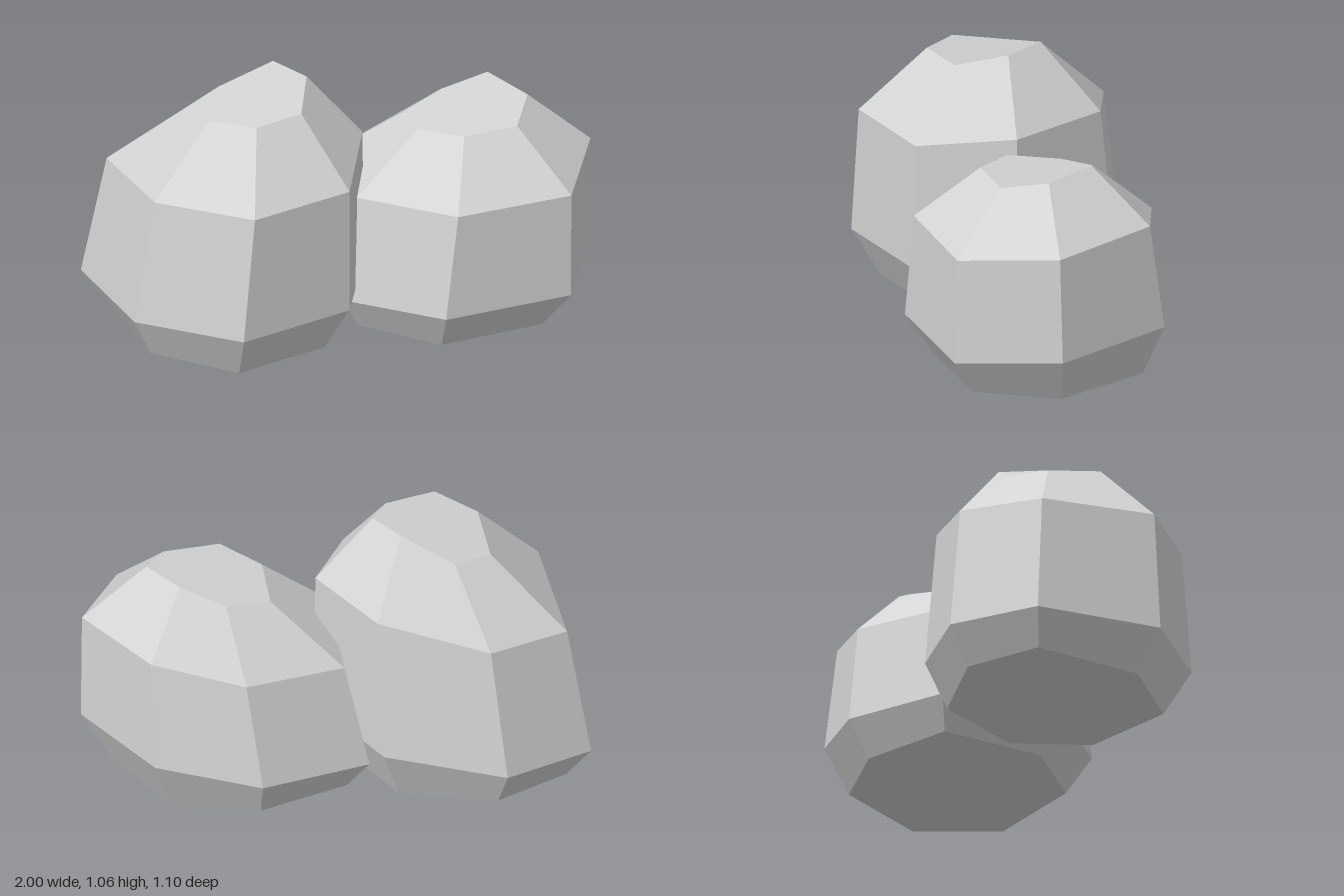
import * as THREE from 'three';

const stone = new THREE.MeshStandardMaterial({ color: 0xd4d4d4 });
stone.name = 'stoneGrey';

// Faceted boulder: closed shell through rings of [x, y, z], ordered clockwise from above
function makeBoulder(name, rings) {
  const positions = [];
  const normals = [];

  // One polygon as a triangle fan, with a single averaged normal so it shades as one facet
  const addFacet = (corners) => {
    const points = corners.map((p) => new THREE.Vector3(...p));
    const normal = new THREE.Vector3();
    points.forEach((p, i) => {
      normal.add(new THREE.Vector3().crossVectors(p, points[(i + 1) % points.length]));
    });
    normal.normalize();
    for (let i = 1; i < points.length - 1; i++) {
      for (const p of [points[0], points[i], points[i + 1]]) {
        positions.push(p.x, p.y, p.z);
        normals.push(normal.x, normal.y, normal.z);
      }
    }
  };

  // Side facets
  const count = rings[0].length;
  for (let r = 0; r < rings.length - 1; r++) {
    const lo = rings[r];
    const hi = rings[r + 1];
    for (let i = 0; i < count; i++) {
      const j = (i + 1) % count;
      addFacet([lo[i], hi[i], hi[j], lo[j]]);
    }
  }

  // Underside and crown
  const [first, ...rest] = rings[rings.length - 1];
  addFacet(rings[0]);
  addFacet([first, ...rest.reverse()]);

  const geometry = new THREE.BufferGeometry();
  geometry.setAttribute('position', new THREE.Float32BufferAttribute(positions, 3));
  geometry.setAttribute('normal', new THREE.Float32BufferAttribute(normals, 3));
  const mesh = new THREE.Mesh(geometry, stone);
  mesh.name = name;
  return mesh;
}

// Ground ring: the lower ring shrunk about a centre and dropped to y = 0
const footprint = (ring, cx, cz) =>
  ring.map(([x, , z]) => [cx + (x - cx) * 0.81, 0, cz + (z - cz) * 0.81]);

export function createModel() {
  const group = new THREE.Group();
  group.name = 'boulderPair';

  // Taller boulder
  const tallLow = [
    [-0.17, 0.21, -0.44], [0.07, 0.21, 0], [-0.08, 0.2, 0.38], [-0.55, 0.2, 0.545],
    [-0.92, 0.18, 0.24], [-1, 0.13, -0.33], [-0.65, 0.155, -0.55],
  ];
  const tallHigh = [
    [-0.15, 0.79, -0.38], [0.065, 0.785, 0], [-0.08, 0.73, 0.38], [-0.5, 0.73, 0.525],
    [-0.84, 0.71, 0.25], [-0.91, 0.65, -0.27], [-0.59, 0.69, -0.48],
  ];
  const tallTop = [
    [-0.26, 1.06, -0.16], [-0.16, 1.055, -0.01], [-0.23, 1, 0.19], [-0.43, 1, 0.265],
    [-0.59, 0.98, 0.13], [-0.62, 0.925, -0.11], [-0.47, 0.945, -0.21],
  ];
  group.add(makeBoulder('tallBoulder', [footprint(tallLow, -0.5, -0.08), tallLow, tallHigh, tallTop]));

  // Shorter boulder
  const shortLow = [
    [0.74, 0.22, -0.46], [0.995, 0.205, 0], [0.815, 0.165, 0.4], [0.285, 0.17, 0.495],
    [-0.065, 0.15, 0.2], [-0.12, 0.12, -0.34], [0.32, 0.155, -0.545],
  ];
  const shortHigh = [
    [0.75, 0.66, -0.4], [0.99, 0.645, 0.01], [0.82, 0.605, 0.39], [0.34, 0.61, 0.47],
    [0, 0.585, 0.17], [-0.025, 0.54, -0.29], [0.38, 0.585, -0.48],
  ];
  const shortTop = [
    [0.62, 0.885, -0.19], [0.735, 0.87, 0.005], [0.65, 0.83, 0.18], [0.425, 0.83, 0.22],
    [0.27, 0.81, 0.08], [0.255, 0.77, -0.14], [0.44, 0.81, -0.23],
  ];
  group.add(makeBoulder('shortBoulder', [footprint(shortLow, 0.33, -0.09), shortLow, shortHigh, shortTop]));

  return group;
}
